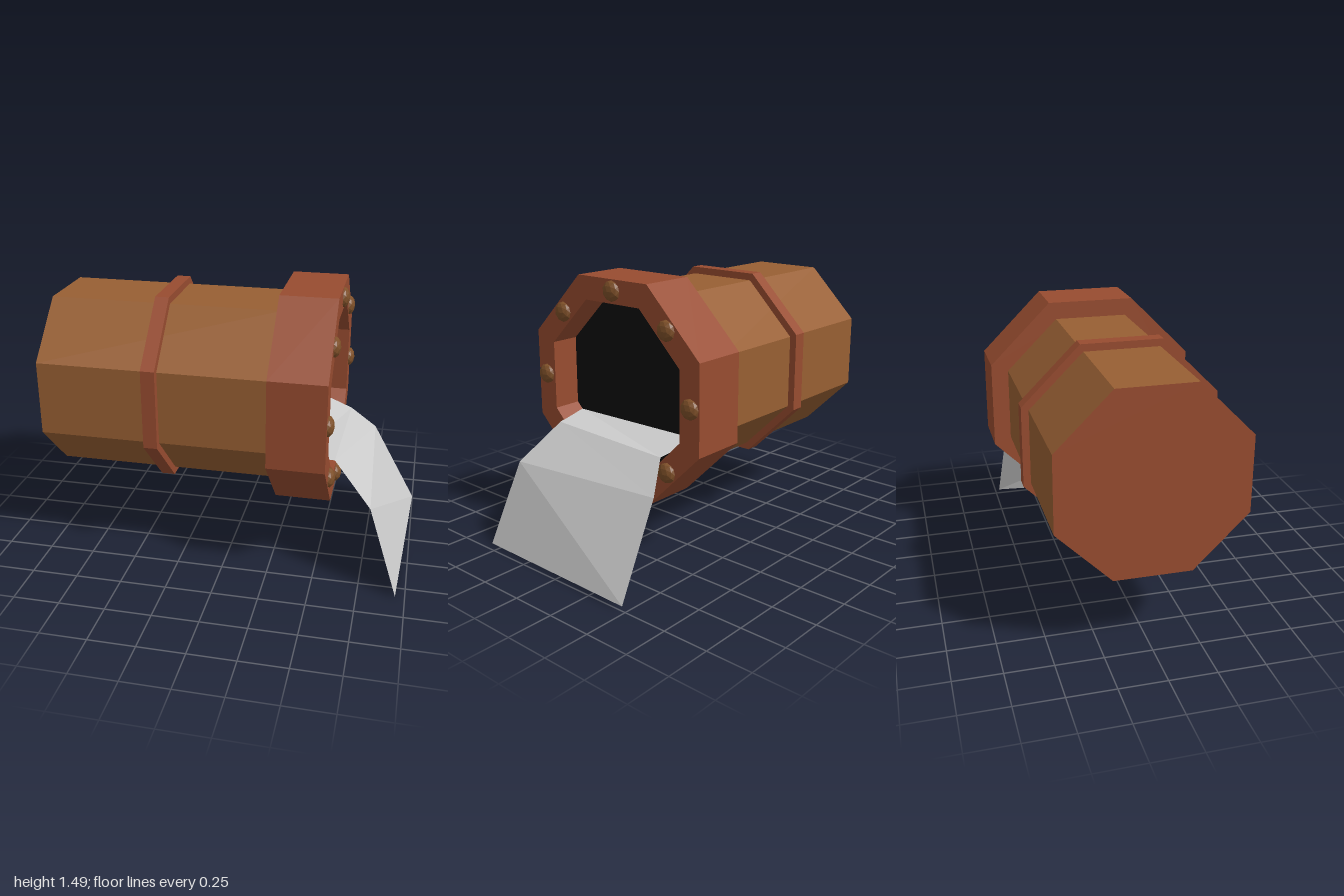
import * as THREE from 'three';

const AXIS_Y = 0.912, AXIS_Z = -0.007;

const paint = (color, side = THREE.FrontSide) =>
  new THREE.MeshStandardMaterial({ color, flatShading: true, side });

// corners of an octagon with flats on top, bottom and sides
function octagon(apothem) {
  const r = apothem / Math.cos(Math.PI / 8);
  return Array.from({ length: 8 }, (_, i) => {
    const a = (i + 0.5) * Math.PI / 4;
    return new THREE.Vector2(r * Math.cos(a), r * Math.sin(a));
  });
}

// octagonal prism or ring lying along x
function prism(name, x0, x1, outer, inner, material) {
  const shape = new THREE.Shape(octagon(outer));
  if (inner) shape.holes.push(new THREE.Path(octagon(inner).reverse()));
  const geometry = new THREE.ExtrudeGeometry(shape, { depth: x1 - x0, bevelEnabled: false });
  geometry.rotateY(Math.PI / 2);
  const mesh = new THREE.Mesh(geometry, material);
  mesh.name = name;
  mesh.position.set(x0, AXIS_Y, AXIS_Z);
  return mesh;
}

export function createModel() {
  const model = new THREE.Group();
  model.name = 'barrelWithSpout';

  const wood = paint(0x985f33);
  const red = paint(0x984c30);
  const stud = paint(0x7d4f28);
  const black = paint(0x0d0d0d);
  const metal = paint(0xcccccc, THREE.DoubleSide);

  // body with red end caps, band and hollow rim
  model.add(prism('barrelBody', -1, 0.26, 0.483, 0, [red, wood]));
  model.add(prism('band', -0.415, -0.34, 0.522, 0.47, red));
  model.add(prism('rim', 0.25, 0.555, 0.577, 0.452, red));
  model.add(prism('darkInterior', 0.375, 0.395, 0.453, 0, black));

  // flattened studs around the rim face
  const studs = new THREE.Group();
  studs.name = 'rimStuds';
  const studGeometry = new THREE.IcosahedronGeometry(0.055, 1).scale(0.6, 1, 1);
  for (let i = 0; i < 8; i++) {
    const a = i * Math.PI / 4;
    const mesh = new THREE.Mesh(studGeometry, stud);
    mesh.name = 'stud';
    mesh.position.set(0.555, AXIS_Y + 0.517 * Math.sin(a), AXIS_Z + 0.517 * Math.cos(a));
    studs.add(mesh);
  }
  model.add(studs);

  // bent sheet pouring out of the mouth: each row is a front and a back corner
  const rows = [
    [[0.39, 0.69, 0.42], [0.39, 0.70, -0.435]],
    [[0.585, 0.663, 0.385], [0.60, 0.642, -0.372]],
    [[0.79, 0.46, 0.50], [0.745, 0.495, -0.457]],
    [[0.95, 0.0, 0.58], [1.0, 0.025, -0.48]],
  ];
  const index = [];
  for (let i = 0; i < rows.length - 1; i++) {
    const a = i * 2;
    index.push(a, a + 2, a + 3, a, a + 3, a + 1);
  }
  const sheet = new THREE.BufferGeometry();
  sheet.setAttribute('position', new THREE.Float32BufferAttribute(rows.flat(2), 3));
  sheet.setIndex(index);
  sheet.computeVertexNormals();
  const spout = new THREE.Mesh(sheet, metal);
  spout.name = 'spoutSheet';
  model.add(spout);

  return model;
}
